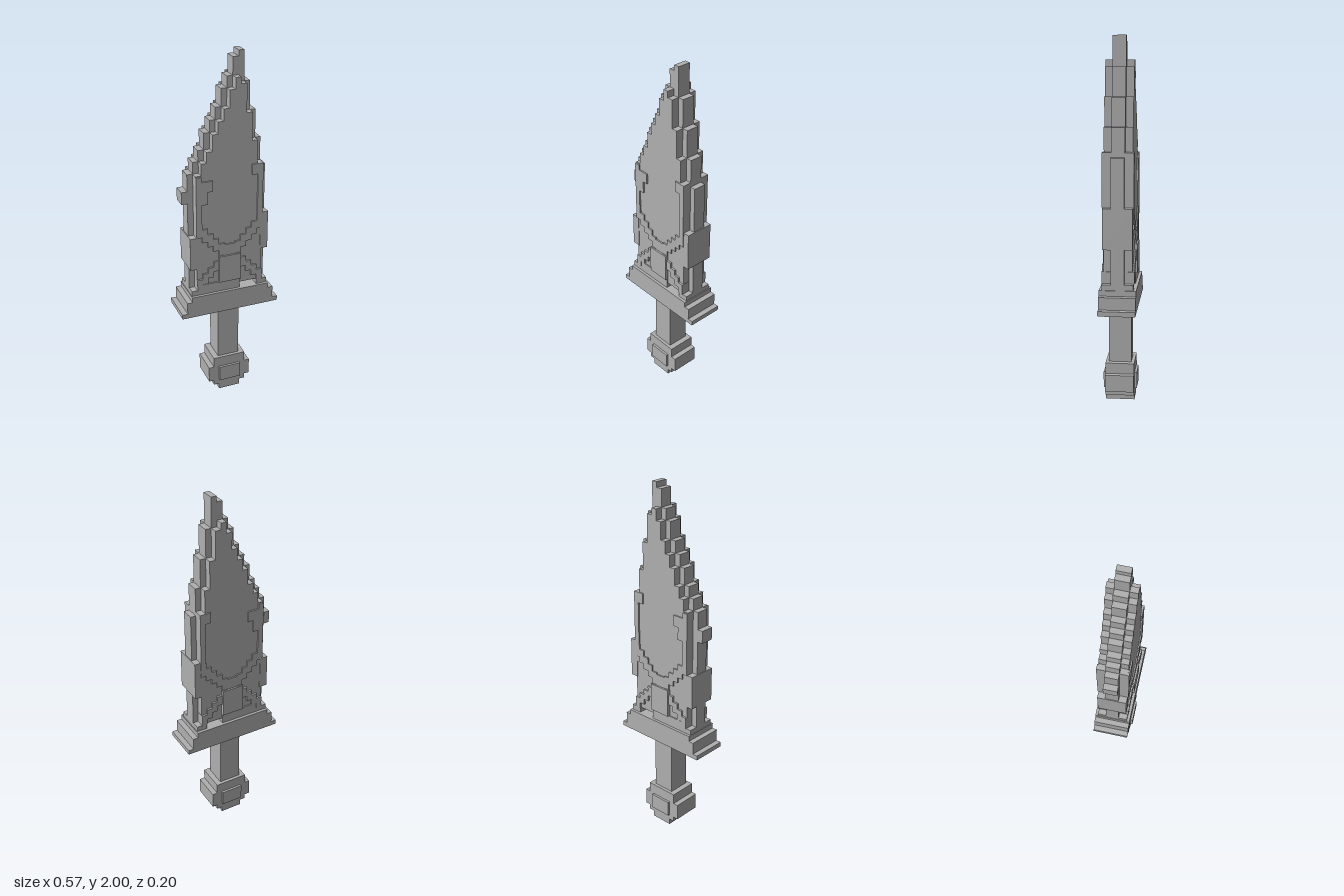
import * as THREE from 'three';

const steel = new THREE.MeshStandardMaterial({ color: 0xb0b0b0 });
steel.name = 'plain grey';

// Stepped blade edges, bottom to top: [x, y where the step ends]
const RIGHT = [[0.22, 1.375], [0.19, 1.53], [0.16, 1.685], [0.127, 1.84], [0.095, 2]];
const LEFT = [[-0.222, 1.375], [-0.19, 1.44], [-0.16, 1.5], [-0.127, 1.59], [-0.095, 1.655],
  [-0.064, 1.72], [-0.032, 1.815], [0, 1.875], [0.032, 1.97], [0.064, 2]];

// Stepped slab between both edges, pulled in by inset and cut off at top
function bladeSlab(name, inset, bottom, top, halfDepth) {
  const side = (steps, shift) => {
    const pts = [];
    let y = bottom;
    for (const [x, end] of steps) {
      if (y >= top) break;
      pts.push(new THREE.Vector2(x + shift, y));
      y = Math.min(end, top);
      pts.push(new THREE.Vector2(x + shift, y));
    }
    return pts;
  };
  const outline = [...side(RIGHT, -inset), ...side(LEFT, inset).reverse()];
  const geo = new THREE.ExtrudeGeometry(new THREE.Shape(outline), { depth: 2 * halfDepth, bevelEnabled: false });
  geo.translate(0, 0, -halfDepth);
  const mesh = new THREE.Mesh(geo, steel);
  mesh.name = name;
  return mesh;
}

// Block from its x and y limits, centred on z
function block(name, x0, x1, y0, y1, halfDepth) {
  const mesh = new THREE.Mesh(new THREE.BoxGeometry(x1 - x0, y1 - y0, 2 * halfDepth), steel);
  mesh.name = name;
  mesh.position.set((x0 + x1) / 2, (y0 + y1) / 2, 0);
  return mesh;
}

export function createModel() {
  const model = new THREE.Group();
  model.name = 'dagger';
  const add = (...args) => model.add(block(...args));

  // Pommel, with a raised square front and back
  add('pommelBase', -0.063, 0.063, 0, 0.035, 0.08);
  add('pommelLower', -0.095, 0.095, 0.035, 0.065, 0.08);
  add('pommelMiddle', -0.125, 0.125, 0.065, 0.16, 0.08);
  add('pommelUpper', -0.095, 0.095, 0.16, 0.22, 0.08);
  add('pommelSquare', -0.063, 0.063, 0.067, 0.158, 0.093);

  add('grip', -0.063, 0.063, 0.22, 0.545, 0.062);

  // Stepped guard
  add('guardBottom', -0.285, 0.285, 0.545, 0.572, 0.1);
  add('guardMiddle', -0.255, 0.255, 0.572, 0.64, 0.1);
  add('guardTop', -0.225, 0.225, 0.64, 0.67, 0.1);

  // Blade foot, leaving a notch on one side
  add('bladeFoot', -0.222, 0.06, 0.67, 0.7, 0.084);
  add('bladeFoot', 0.16, 0.22, 0.67, 0.7, 0.084);

  // Thin cutting edge and the thicker body inside it
  model.add(bladeSlab('cuttingEdge', 0, 0.7, 2, 0.036));
  model.add(bladeSlab('bladeBody', 0.032, 0.7, 1.875, 0.077));
  add('edgeBump', -0.255, -0.222, 1.21, 1.28, 0.038);
  add('edgeBlock', 0.18, 0.225, 0.89, 1.11, 0.08);
  add('edgeBlock', -0.226, -0.18, 0.83, 1.02, 0.08);

  // Raised rim along the upper field
  add('rim', -0.19, -0.16, 1.1, 1.37, 0.085);
  add('rim', -0.16, -0.127, 1.21, 1.34, 0.085);
  add('rim', -0.127, -0.097, 1.28, 1.34, 0.085);
  add('rim', 0.16, 0.19, 1.09, 1.4, 0.085);
  add('rim', 0.127, 0.16, 1.34, 1.4, 0.085);

  // Raised cross of stepped bands, mirrored left and right
  for (const s of [-1, 1]) {
    for (let k = 0; k < 5; k++) {
      const a = s * (0.19 - 0.032 * k), b = s * (0.158 - 0.032 * k);
      const x0 = Math.min(a, b), x1 = Math.max(a, b);
      add('upperBand', x0, x1, 1.02 - 0.032 * k, 1.1 - 0.034 * k, 0.085);
      add('lowerBand', x0, x1, 0.7 + 0.034 * k, 0.765 + 0.032 * k, 0.088);
    }
  }
  add('crossCentre', -0.035, 0.035, 0.88, 0.955, 0.085);
  add('centreSquare', -0.064, 0.062, 0.73, 0.89, 0.095);
  add('lowerStrip', -0.19, 0.06, 0.7, 0.73, 0.084);

  return model;
}
